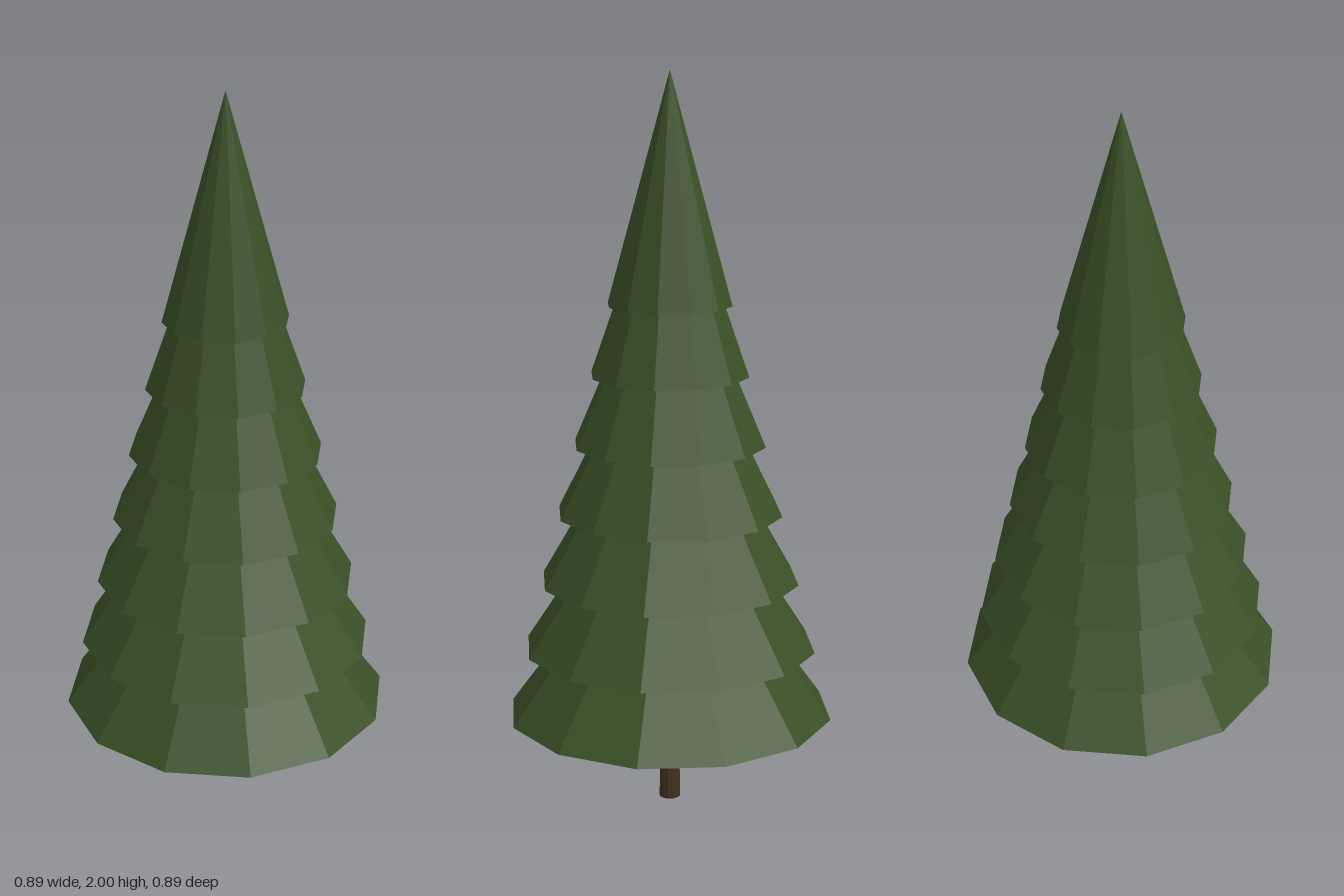
import * as THREE from 'three';

export function createModel() {
  const tree = new THREE.Group();
  tree.name = 'pineTree';

  const needles = new THREE.MeshStandardMaterial({ color: 0x3a5027, flatShading: true });
  needles.name = 'needle green';
  const bark = new THREE.MeshStandardMaterial({ color: 0x40311f, flatShading: true });
  bark.name = 'bark brown';

  // Slightly tapered trunk, ending inside the lowest tier
  const trunkHeight = 0.4;
  const trunk = new THREE.Mesh(new THREE.CylinderGeometry(0.024, 0.029, trunkHeight, 12), bark);
  trunk.name = 'trunk';
  trunk.position.y = trunkHeight / 2;
  tree.add(trunk);

  // Seven overlapping twelve-sided cones, equal in height and narrowing upwards
  const foliage = new THREE.Group();
  foliage.name = 'foliage';
  const tiers = 7, coneHeight = 0.613;
  const lowest = 0.253, highest = 2 - coneHeight;
  for (let i = 0; i < tiers; i++) {
    const t = i / (tiers - 1);
    const radius = THREE.MathUtils.lerp(0.446, 0.168, t);
    const tier = new THREE.Mesh(new THREE.ConeGeometry(radius, coneHeight, 12), needles);
    tier.name = `branchTier${i + 1}`;
    tier.position.y = THREE.MathUtils.lerp(lowest, highest, t) + coneHeight / 2;
    foliage.add(tier);
  }
  tree.add(foliage);

  return tree;
}
